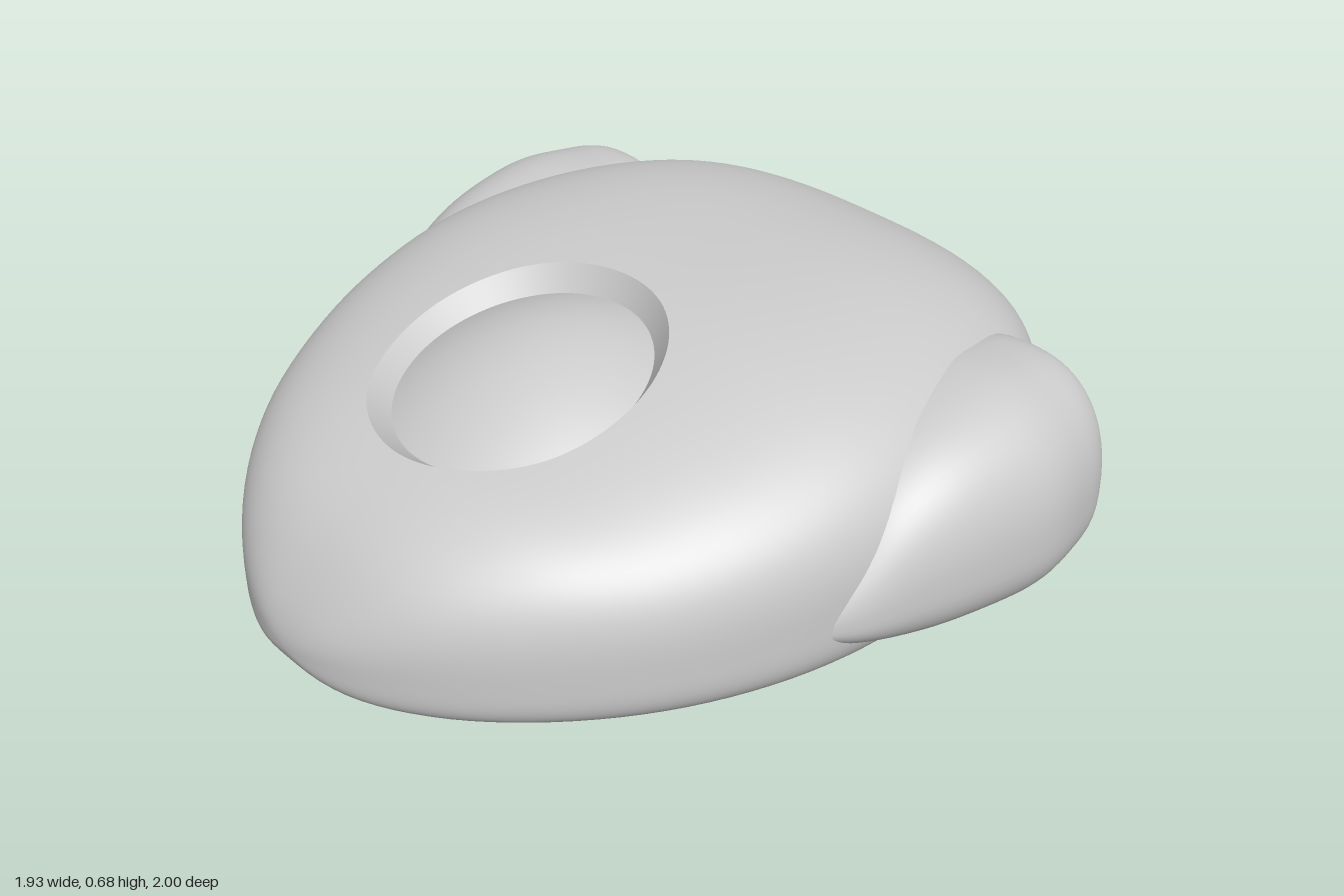
import * as THREE from 'three';

const material = new THREE.MeshStandardMaterial({ color: 0xcccccc });

// Smooth function of u in 0..1 through evenly spaced values
function smooth(values) {
  const curve = new THREE.SplineCurve(values.map((v, i) => new THREE.Vector2(i, v)));
  return u => curve.getPoint(Math.min(Math.max(u, 0), 1)).y;
}

// Skin over closed loops: point(row, col) returns [x, y, z]
function loft(name, rows, cols, point) {
  const pos = [], index = [];
  for (let r = 0; r <= rows; r++)
    for (let c = 0; c < cols; c++) pos.push(...point(r, c));
  for (let r = 0; r < rows; r++)
    for (let c = 0; c < cols; c++) {
      const a = r * cols + c, b = r * cols + (c + 1) % cols;
      index.push(a, a + cols, b + cols, a, b + cols, b);
    }
  const geometry = new THREE.BufferGeometry();
  geometry.setAttribute('position', new THREE.Float32BufferAttribute(pos, 3));
  geometry.setIndex(index);
  geometry.computeVertexNormals();
  const mesh = new THREE.Mesh(geometry, material);
  mesh.name = name;
  return mesh;
}

// Body shape from nose (z = 1) to tail (z = -1), as multiples of sin(acos z)
const width = smooth([.64, .66, .7, .74, .78, .81, .83, .85, .865, .91, .95, .94, .92]);
const rise = smooth([.32, .37, .42, .41, .375, .383, .405, .424, .445, .46, .45, .42, .4]);
const drop = smooth([.3, .29, .26, .24, .233, .238, .26, .271, .291, .325, .35, .35, .35]);
const waist = smooth([.15, .16, .18, .2, .22, .24, .26, .27, .28, .285, .29, .29, .29]);

function bodyHeight(x, z, top) {
  const zc = THREE.MathUtils.clamp(z, -1, 1);
  const u = Math.acos(zc) / Math.PI, s = Math.sqrt(1 - zc * zc);
  const n = top ? 2.8 : 4;
  const q = s > 1e-6 ? Math.min(Math.abs(x) / (width(u) * s), 1) : 1;
  const k = Math.pow(1 - Math.pow(q, n), 1 / n) * s;
  return waist(u) + (top ? rise(u) : -drop(u)) * k;
}

const COLS = 128;
const angle = c => c / COLS * Math.PI * 2;
const rimPoint = a => [.32 * Math.sin(a), .34 + .34 * Math.cos(a)];
const floorPoint = (a, r = 1) => [.28 * r * Math.sin(a), .327 + .298 * r * Math.cos(a)];
const floorHeight = z => .53 - .24 * (z - .327);

function createBody() {
  const half = 40;
  return loft('body', half * 2, COLS, (r, c) => {
    const a = angle(c), top = r <= half;
    const ox = width(Math.acos(Math.cos(a)) / Math.PI) * Math.sin(a), oz = Math.cos(a);
    const k = top ? r / half : 2 - r / half;
    const s = 1 - Math.pow(1 - k, 2.6);
    // Upper loops start at the recess rim, lower ones end at the centre of the base
    const [ix, iz] = top ? rimPoint(a) : [0, 0];
    const x = ix + (ox - ix) * s, z = iz + (oz - iz) * s;
    const y = r === half ? waist(Math.acos(oz) / Math.PI) : bodyHeight(x, z, top);
    return [x, y, z];
  });
}

// Sloping wall of the oval recess
function createRecessWall() {
  return loft('recessWall', 1, COLS, (r, c) => {
    const a = angle(c);
    const [x, z] = r ? rimPoint(a) : floorPoint(a);
    return [x, r ? bodyHeight(x, z, true) : floorHeight(z), z];
  });
}

// Shallow domed button inside the recess
function createButton() {
  return loft('domedButton', 16, COLS, (r, c) => {
    const [x, z] = floorPoint(angle(c), r / 16);
    return [x, floorHeight(z) + .08 * (1 - (r / 16) ** 2), z];
  });
}

// Side pod: rounded sections from the tapered front to the blunt back
const podZ = smooth([.22, .12, 0, -.15, -.35, -.5, -.58, -.615, -.628, -.632]);
const podOuter = smooth([.77, .84, .89, .935, .967, .947, .92, .885, .83, .68]);
const podTop = smooth([.23, .35, .47, .545, .58, .57, .555, .53, .48, .26]);
const podBottom = smooth([.18, .13, .09, .065, .05, .06, .073, .095, .14, .26]);

function createPod(name, side) {
  const rows = 63, cols = 64, inner = .68;
  const power = v => Math.sign(v) * Math.pow(Math.abs(v), 2 / 2.4);
  return loft(name, rows, cols, (r, c) => {
    const u = r / rows, a = side * c / cols * Math.PI * 2;
    const top = podTop(u), bottom = podBottom(u);
    const mid = bottom + (top - bottom) * .4;
    const sy = power(Math.sin(a));
    return [
      side * (inner + (podOuter(u) - inner) * power(Math.cos(a))),
      mid + sy * (sy > 0 ? top - mid : mid - bottom),
      podZ(u),
    ];
  });
}

export function createModel() {
  const model = new THREE.Group();
  model.name = 'roundedShell';
  model.add(createBody(), createRecessWall(), createButton());
  model.add(createPod('leftPod', 1), createPod('rightPod', -1));
  return model;
}
